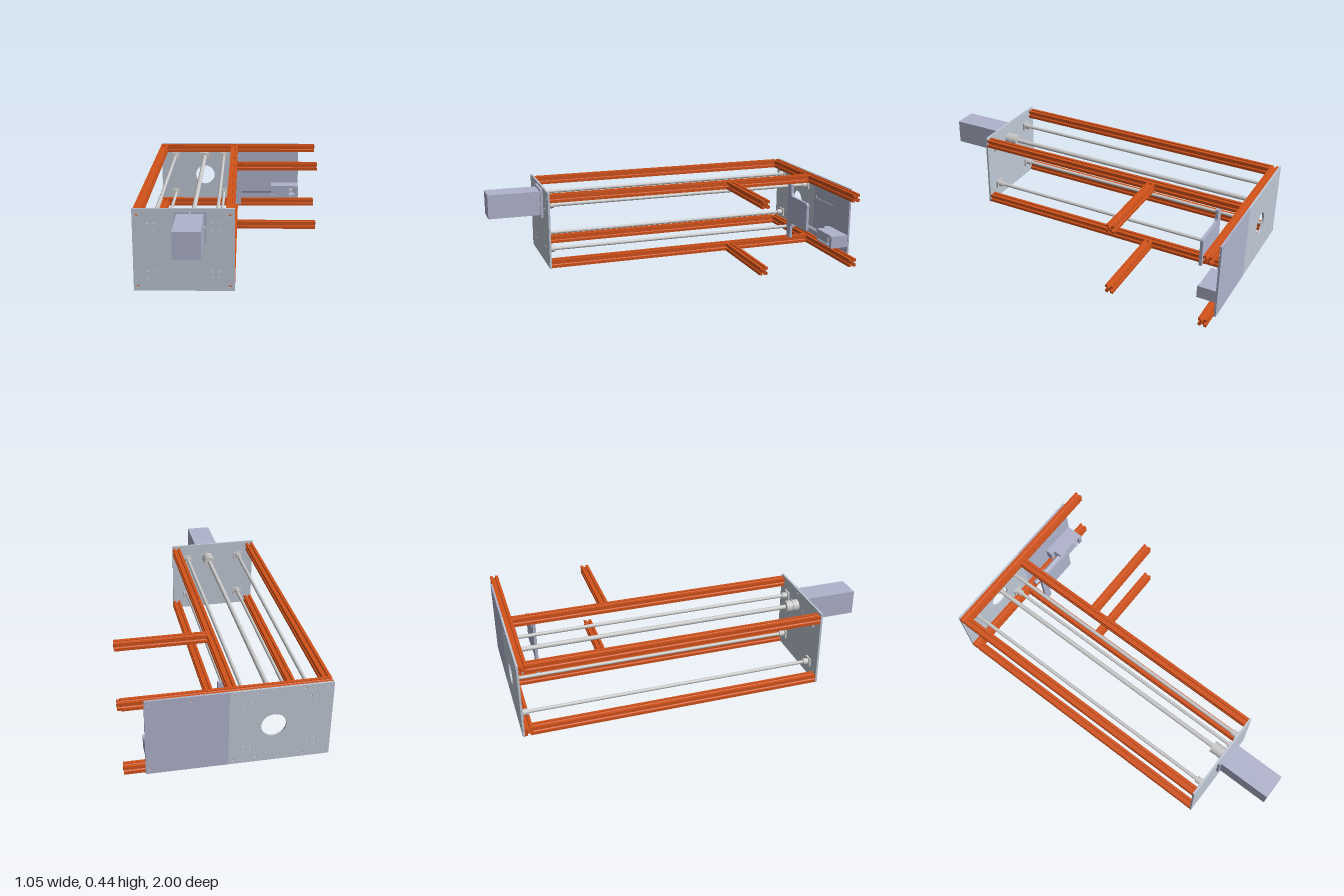
import * as THREE from 'three';

const ORANGE = new THREE.MeshStandardMaterial({ color: 0xd2521a });
const PLATE = new THREE.MeshStandardMaterial({ color: 0xbfc8d6 });
const PANEL = new THREE.MeshStandardMaterial({ color: 0xb0b4cc });
const STEEL = new THREE.MeshStandardMaterial({ color: 0xcccccc });

export function createModel() {
  const root = new THREE.Group();

  const add = (name, geometry, material, x = 0, y = 0, z = 0) => {
    const mesh = new THREE.Mesh(geometry, material);
    mesh.name = name;
    mesh.position.set(x, y, z);
    root.add(mesh);
    return mesh;
  };
  // box given by its lower and upper limits on each axis
  const box = (name, mat, x0, x1, y0, y1, z0, z1) =>
    add(name, new THREE.BoxGeometry(x1 - x0, y1 - y0, z1 - z0), mat,
      (x0 + x1) / 2, (y0 + y1) / 2, (z0 + z1) / 2);
  // cylinder lying along z
  const rodZ = (name, mat, r, x, y, z0, z1, sides = 24) =>
    add(name, new THREE.CylinderGeometry(r, r, z1 - z0, sides).rotateX(Math.PI / 2), mat,
      x, y, (z0 + z1) / 2);
  const polygon = pts => new THREE.Shape(pts.map(p => new THREE.Vector2(p[0], p[1])));
  const rect = (x0, x1, y0, y1) => polygon([[x0, y0], [x1, y0], [x1, y1], [x0, y1]]);
  const drill = (shape, holes) => {
    for (const [x, y, r] of holes) {
      shape.holes.push(new THREE.Path().absarc(x, y, r, 0, Math.PI * 2, true));
    }
    return shape;
  };
  const sheet = (name, mat, shape, z0, z1) =>
    add(name, new THREE.ExtrudeGeometry(shape,
      { depth: z1 - z0, bevelEnabled: false, curveSegments: 10 }), mat, 0, 0, z0);

  // slotted square rail section, one side repeated four times
  const H = 0.023;
  const side = [[H, -H], [H, -0.007], [0.018, -0.007], [0.018, -0.013], [0.01, -0.005],
    [0.01, 0.005], [0.018, 0.013], [0.018, 0.007], [H, 0.007]];
  const section = [];
  for (let k = 0; k < 4; k++) {
    const c = [1, 0, -1, 0][k], s = [0, 1, 0, -1][k];
    for (const [x, y] of side) section.push([c * x - s * y, s * x + c * y]);
  }
  const railGeometry = length => new THREE.ExtrudeGeometry(
    drill(polygon(section), [[0, 0, 0.005]]),
    { depth: length, bevelEnabled: false, curveSegments: 4 });

  // frame rails, lower and upper layer
  for (const y of [0.026, 0.409]) {
    for (const x of [-0.504, -0.023]) add('longRail', railGeometry(1.62), ORANGE, x, y, -0.945);
    add('backRail', railGeometry(1.052).rotateY(Math.PI / 2), ORANGE, -0.527, y, -0.966);
    add('sideRail', railGeometry(0.5).rotateY(Math.PI / 2), ORANGE, 0, y, -0.42);
  }

  // hole patterns shared by the two end plates
  const rodX = [-0.431, -0.097], rodY = [0.089, 0.35];
  const SX = -0.228, SY = 0.35;
  const bearingHoles = [];
  for (const x of rodX) for (const y of rodY) for (const i of [-1, 1]) for (const j of [-1, 1]) {
    bearingHoles.push([x + i * 0.017, y + j * 0.018, 0.005]);
  }
  const motorHoles = [[SX, SY + 0.076, 0.005], [SX, SY - 0.076, 0.005],
    [SX - 0.076, SY, 0.005], [SX + 0.076, SY, 0.005]];
  const cornerHoles = [];
  for (const x of [-0.504, -0.025]) for (const y of [0.025, 0.409]) cornerHoles.push([x, y, 0.007]);

  // front plate
  sheet('frontPlate', PLATE,
    drill(rect(-0.527, 0, 0, 0.445), [...bearingHoles, ...motorHoles, ...cornerHoles]), 0.675, 0.686);

  // back plate with its large opening and edge holes
  const edgeHoles = [];
  for (let i = 0; i < 5; i++) for (const y of [0.025, 0.415]) {
    edgeHoles.push([-0.504 + i * 0.12, y, 0.006]);
  }
  sheet('backPlate', PLATE,
    drill(rect(-0.527, 0, 0, 0.435), [...bearingHoles, ...edgeHoles, [SX, 0.215, 0.065]]), -1, -0.989);

  // side panel: backing sheet plus a facing sheet with a rounded slot
  const panelHoles = [];
  for (const x of [0.19, 0.395]) for (const y of [0.025, 0.41]) panelHoles.push([x, y, 0.006]);
  sheet('sidePanel', PANEL, drill(rect(0, 0.418, 0, 0.435), panelHoles), -1, -0.994);
  const facing = drill(rect(0, 0.418, 0, 0.435), panelHoles);
  const slot = new THREE.Path();
  slot.absarc(0.035, 0.303, 0.012, Math.PI * 1.5, Math.PI / 2, true);
  slot.absarc(0.239, 0.303, 0.012, Math.PI / 2, -Math.PI / 2, true);
  facing.holes.push(slot);
  sheet('sidePanelFacing', PANEL, facing, -0.994, -0.989);

  // motor on its flange
  sheet('motorFlange', PANEL,
    drill(rect(SX - 0.083, SX + 0.083, SY - 0.083, SY + 0.083), motorHoles), 0.686, 0.7);
  box('motor', PANEL, SX - 0.07, SX + 0.07, SY - 0.07, SY + 0.07, 0.7, 1);

  // drive screw, coupler and end bearing
  rodZ('driveScrew', STEEL, 0.013, SX, SY, -0.985, 0.675);
  rodZ('couplerFront', STEEL, 0.034, SX, SY, 0.64, 0.675, 32);
  rodZ('couplerNeck', STEEL, 0.03, SX, SY, 0.634, 0.64, 32);
  rodZ('couplerBack', STEEL, 0.034, SX, SY, 0.6, 0.634, 32);
  box('screwBearingFlange', STEEL, SX - 0.035, SX + 0.035, SY - 0.025, SY + 0.025, -0.989, -0.978);
  rodZ('screwBearing', STEEL, 0.025, SX, SY, -0.978, -0.955);

  // guide rods with a stepped flange support at each end
  for (const x of rodX) for (const y of rodY) {
    rodZ('guideRod', STEEL, 0.01, x, y, -0.985, 0.67);
    for (const [z, d] of [[0.675, -1], [-0.989, 1]]) {
      const span = (a, b) => [z + d * a, z + d * b].sort((p, q) => p - q);
      box('rodFlange', STEEL, x - 0.027, x + 0.027, y - 0.024, y + 0.024, ...span(0, 0.01));
      rodZ('rodSupport', STEEL, 0.018, x, y, ...span(0.01, 0.04));
    }
  }

  // upright bracket: a strip between the rails with a wide middle
  const bracket = polygon([[-0.023, 0.049], [0.023, 0.049], [0.023, 0.125], [0.028, 0.138],
    [0.042, 0.145], [0.222, 0.145], [0.228, 0.151], [0.228, 0.307], [0.22, 0.315],
    [0.042, 0.315], [0.028, 0.321], [0.023, 0.334], [0.023, 0.386], [-0.023, 0.386]]);
  sheet('uprightBracket', PANEL, bracket, -0.833, -0.817);

  // linear actuator in its mount
  box('actuatorMountBack', PANEL, 0.2, 0.392, 0.087, 0.158, -0.989, -0.95);
  box('actuatorMountTop', PANEL, 0.228, 0.392, 0.142, 0.158, -0.95, -0.89);
  box('actuatorMountBase', PANEL, 0.228, 0.392, 0.087, 0.096, -0.95, -0.89);
  box('actuatorMountEnd', PANEL, 0.392, 0.415, 0.087, 0.158, -0.989, -0.885);
  box('actuatorBody', PANEL, 0.228, 0.355, 0.098, 0.14, -0.95, -0.895);
  box('actuatorPlug', STEEL, 0.355, 0.375, 0.108, 0.13, -0.94, -0.9);
  box('actuatorFoot', STEEL, 0.357, 0.375, 0.075, 0.087, -0.94, -0.91);
  add('actuatorRod', new THREE.CylinderGeometry(0.014, 0.014, 0.23, 20).rotateZ(Math.PI / 2),
    PANEL, 0.113, 0.12, -0.918);

  return root;
}
